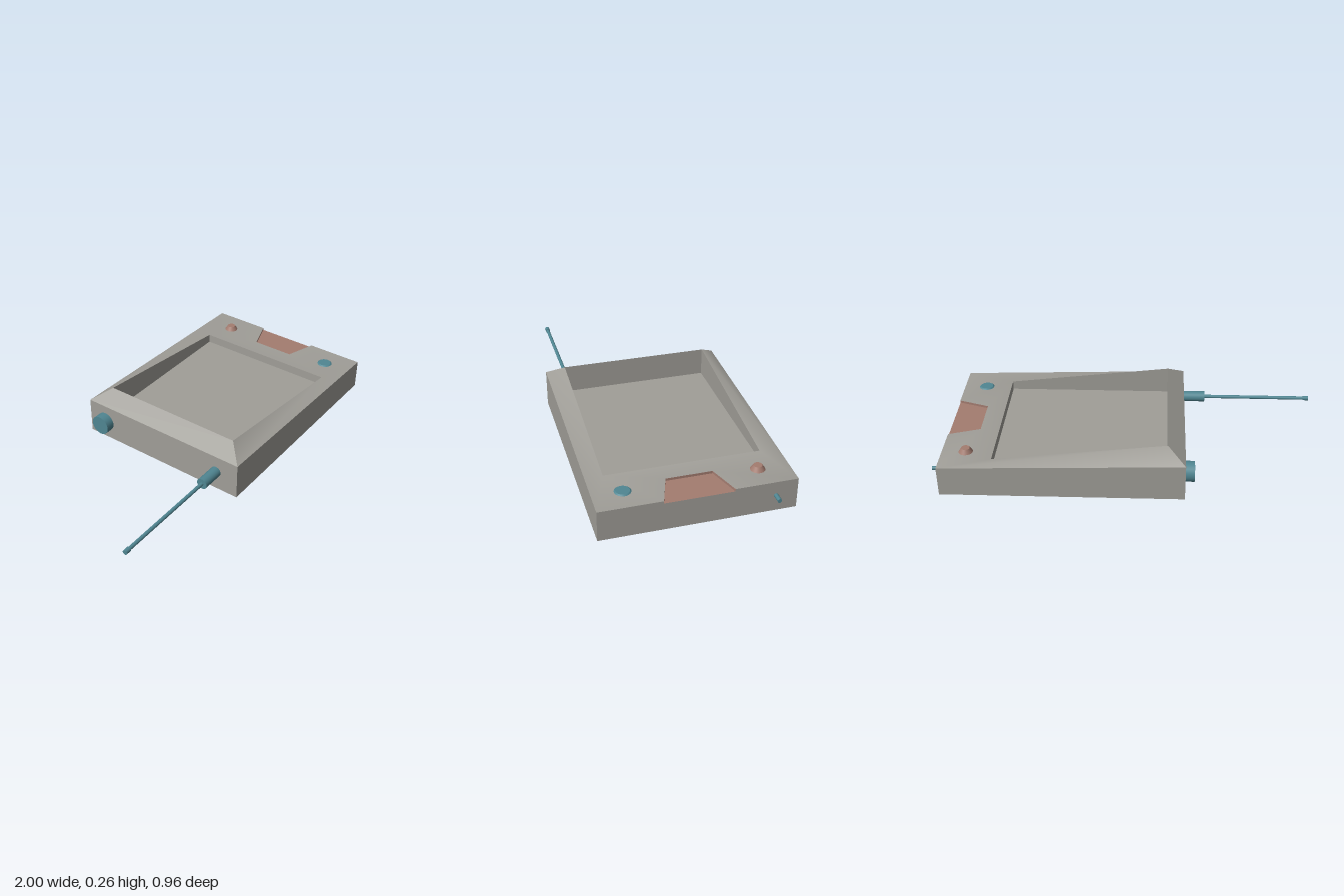
import * as THREE from 'three';
import { mergeVertices } from 'three/addons/utils/BufferGeometryUtils.js';

const GREY = 0xa09e98, TEAL = 0x508692, RED = 0xa37c70;
const material = (color, flatShading = false) => new THREE.MeshStandardMaterial({ color, flatShading });

// Mesh from a list of polygons; each lists its corners counter-clockwise.
// "flatten" maps a corner to 2D, needed only for concave polygons.
// Smooth meshes share their corners so the shading blends across faces.
function facesMesh(name, faces, color, smooth = false) {
  const pos = [];
  for (const { pts, flatten } of faces) {
    const tris = flatten
      ? THREE.ShapeUtils.triangulateShape(pts.map(p => new THREE.Vector2(...flatten(p))), [])
      : pts.slice(2).map((_, i) => [0, i + 1, i + 2]);
    for (const t of tris) for (const i of t) pos.push(...pts[i]);
  }
  let g = new THREE.BufferGeometry();
  g.setAttribute('position', new THREE.Float32BufferAttribute(pos, 3));
  if (smooth) g = mergeVertices(g);
  g.computeVertexNormals();
  const mesh = new THREE.Mesh(g, material(color, !smooth));
  mesh.name = name;
  return mesh;
}

// Cylinder lying along x from x0 to x1
function rod(name, x0, x1, y, z, r) {
  const g = new THREE.CylinderGeometry(r, r, x1 - x0, 32).rotateZ(Math.PI / 2);
  const mesh = new THREE.Mesh(g, material(TEAL));
  mesh.name = name;
  mesh.position.set((x0 + x1) / 2, y, z);
  return mesh;
}

// Tapered push button standing on the rim
function button(name, z, rBottom, rTop, top, color) {
  const base = 0.159;
  const mesh = new THREE.Mesh(new THREE.CylinderGeometry(rTop, rBottom, top - base, 32), material(color));
  mesh.name = name;
  mesh.position.set(0.83, (top + base) / 2, z);
  return mesh;
}

export function createModel() {
  const model = new THREE.Group();
  model.name = 'trayDevice';

  // Corner loops: front left edge, front right edge, back right edge, back left edge
  const loop = (x0, x1, z, y0, y1) => [[x0, y0, z], [x1, y1, z], [x1, y1, -z], [x0, y0, -z]];
  const right = 0.953, rim = 0.16, notchY = 0.147, floorY = 0.112;
  const bottom = loop(-0.29, right, 0.48, 0, 0);
  const outer = loop(-0.29, right, 0.48, 0.197, rim);
  const inner = loop(-0.2, 0.69, 0.39, 0.262, rim);
  const floor = loop(-0.2, 0.69, 0.39, floorY, floorY);

  // Tapered notch in the low rim
  const notch = y => [[right, y, 0.17], [0.79, y, 0.115], [0.79, y, -0.115], [right, y, -0.17]];
  const high = notch(rim), low = notch(notchY);

  // Body: underside, sunken floor, outer and inner walls
  const walls = [{ pts: [...bottom].reverse() }, { pts: floor }];
  const slopes = [];
  for (let i = 0; i < 4; i++) {
    const j = (i + 1) % 4;
    walls.push({ pts: [inner[i], inner[j], floor[j], floor[i]] });
    if (i === 1) {
      walls.push({
        pts: [bottom[i], bottom[j], outer[j], high[3], low[3], low[0], high[0], outer[i]],
        flatten: p => [-p[2], p[1]],
      });
    } else {
      walls.push({ pts: [bottom[i], bottom[j], outer[j], outer[i]] });
      slopes[i] = { pts: [outer[i], outer[j], inner[j], inner[i]] };
    }
  }
  model.add(facesMesh('body', walls, GREY));

  // Rim: twisted side slopes run softly into the level strip; the left slope is sharp
  const strip = { pts: [outer[1], ...high, outer[2], inner[2], inner[1]], flatten: p => [p[0], -p[2]] };
  model.add(facesMesh('sideRim', [slopes[0], strip, slopes[2]], GREY, true));
  model.add(facesMesh('highRim', [slopes[3]], GREY));

  // Coloured lining of the notch
  const lining = [{ pts: low }];
  for (let i = 0; i < 3; i++) lining.push({ pts: [high[i], high[i + 1], low[i + 1], low[i]] });
  const liningMesh = facesMesh('notchLining', lining, RED);
  liningMesh.material.side = THREE.DoubleSide;
  model.add(liningMesh);

  // Buttons on the low rim
  model.add(button('raisedButton', -0.325, 0.037, 0.022, 0.183, RED));
  model.add(button('flatButton', 0.33, 0.042, 0.034, 0.165, TEAL));

  // Antenna, knob and pin
  const antenna = new THREE.Group();
  antenna.name = 'antenna';
  antenna.add(
    rod('antennaBase', -0.41, -0.28, 0.106, 0.352, 0.029),
    rod('antennaRod', -0.98, -0.4, 0.106, 0.352, 0.0095),
    rod('antennaTip', -1, -0.97, 0.106, 0.352, 0.0125),
  );
  model.add(antenna);
  model.add(rod('knob', -0.338, -0.28, 0.099, -0.375, 0.053));
  model.add(rod('pin', 0.94, 1, 0.086, -0.373, 0.0105));

  return model;
}
